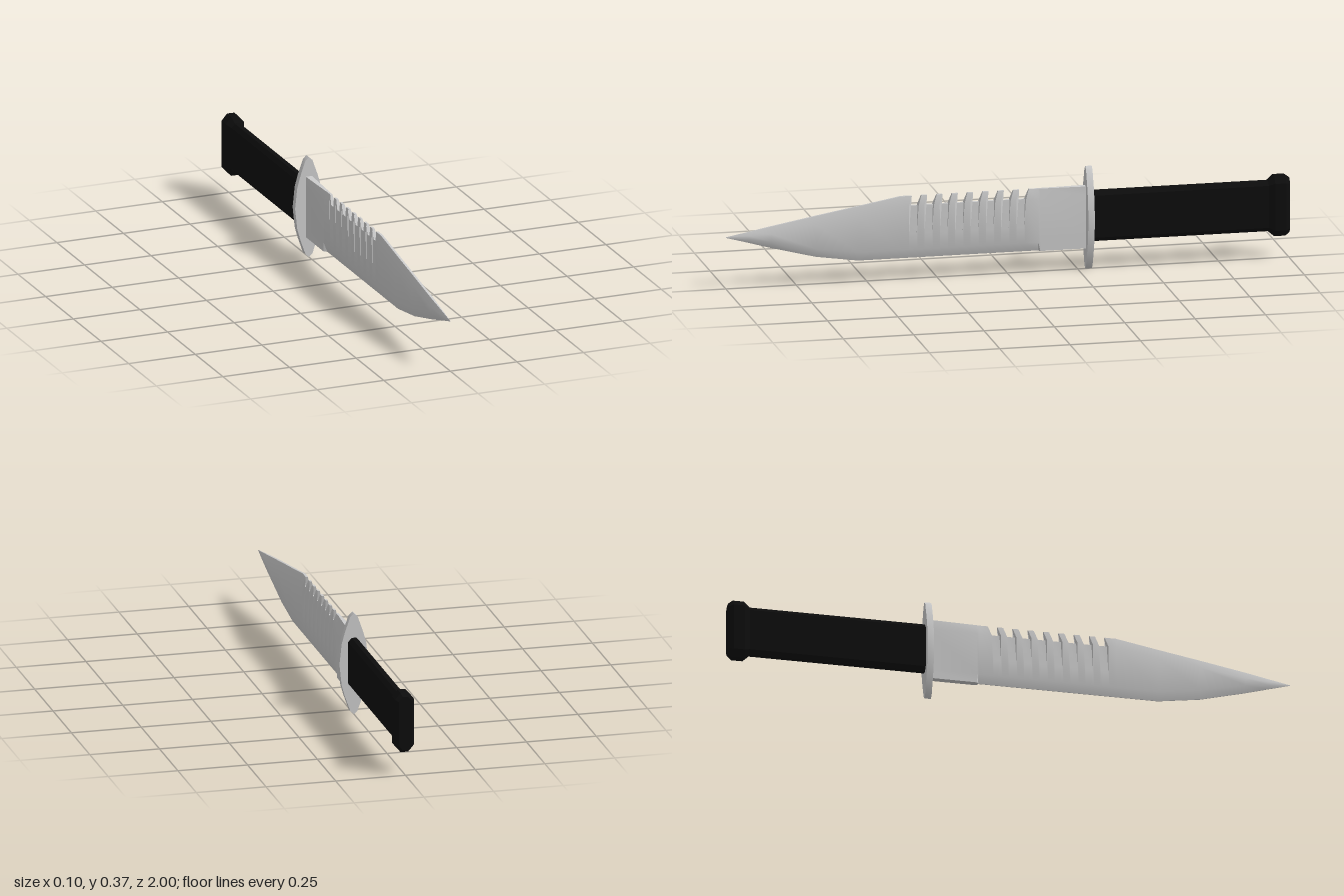
import * as THREE from 'three';
import { toCreasedNormals } from 'three/addons/utils/BufferGeometryUtils.js';

const MID = 0.184;

// Skin through rings listed towards +z, each counter-clockwise seen from +z
function loft(rings, crease) {
  const n = rings[0].length;
  const pos = rings.flat(2);
  const index = [];
  for (let i = 0; i < rings.length - 1; i++) {
    for (let j = 0; j < n; j++) {
      const k = (j + 1) % n;
      const a = i * n + j, b = i * n + k, c = (i + 1) * n + k, d = (i + 1) * n + j;
      index.push(a, b, c, a, c, d);
    }
  }
  const last = (rings.length - 1) * n;
  for (let j = 1; j < n - 1; j++) {
    index.push(0, j + 1, j, last, last + j, last + j + 1);
  }
  const g = new THREE.BufferGeometry();
  g.setAttribute('position', new THREE.Float32BufferAttribute(pos, 3));
  g.setIndex(index);
  return toCreasedNormals(g, crease);
}

// Blade section: spine half width, flat faces, bevel down to the edge
function bladeRing({ z, top = 0.297, bot = 0.075, w = 0.012, spine = 0.004,
  topBevel = 0.035, edge = 0.001, botBevel = 0.032, lean = 0 }) {
  const half = [[edge, bot], [w, bot + botBevel], [w, top - topBevel], [spine, top]];
  const mirrored = half.map(([x, y]) => [-x, y]).reverse();
  return [...half, ...mirrored].map(([x, y]) => [x, y, z - lean * Math.max(0, y - 0.25)]);
}

function bladeGeometry() {
  const s = [
    { z: -0.29, spine: 0.012, edge: 0.012 },
    { z: -0.115, spine: 0.005, edge: 0.012 },
    { z: -0.108 },
  ];
  // Saw teeth along the spine, with scallops fading down the faces
  for (let i = 0; i < 8; i++) {
    const z = -0.06 + i * 0.0545;
    const tooth = { lean: 0.33 };
    const notch = { top: 0.263, topBevel: 0.1, spine: 0.006, lean: 0.33 };
    s.push({ z, ...tooth }, { z: z + 0.003, ...notch },
      { z: z + 0.03, ...notch }, { z: z + 0.034, ...tooth });
  }
  // Clipped point and curved belly
  s.push(
    { z: 0.38 },
    { z: 0.53, top: 0.27 },
    { z: 0.68, top: 0.244, bot: 0.097, botBevel: 0.03, topBevel: 0.03 },
    { z: 0.84, top: 0.215, bot: 0.138, botBevel: 0.025, topBevel: 0.025 },
    { z: 0.92, top: 0.2, bot: 0.161, w: 0.007, spine: 0.002, botBevel: 0.013, topBevel: 0.013 },
    { z: 1, top: MID + 0.001, bot: MID - 0.001, w: 0.0005, spine: 0.0003, edge: 0.0003,
      botBevel: 0.0005, topBevel: 0.0005 },
  );
  return loft(s.map(bladeRing), 0.6);
}

// Tall eight-sided section used by the grip and pommel
function gripRing(z, hx, hy) {
  const fx = hx * 0.4, fy = hy - hx * 0.7;
  return [[hx, -fy], [hx, fy], [fx, hy], [-fx, hy], [-hx, fy], [-hx, -fy], [-fx, -hy], [fx, -hy]]
    .map(([x, y]) => [x, MID + 0.005 + y, z]);
}

// Pointed oval plate section
function guardRing(z, scale) {
  const q = [[0.052, 0], [0.044, 0.075], [0.033, 0.115], [0.013, 0.172], [0, 0.184]];
  const up = [...q, ...q.slice(0, 4).reverse().map(([x, y]) => [-x, y])];
  const down = up.slice(1, -1).map(([x, y]) => [-x, -y]);
  return [...up, ...down].map(([x, y]) => [x * scale, MID + y * scale, z]);
}

export function createModel() {
  const group = new THREE.Group();
  const steel = new THREE.MeshStandardMaterial({ color: 0xcccccc });
  const black = new THREE.MeshStandardMaterial({ color: 0x0d0d0d });
  const add = (name, geometry, material) => {
    const mesh = new THREE.Mesh(geometry, material);
    mesh.name = name;
    group.add(mesh);
  };

  add('blade', bladeGeometry(), steel);
  add('guard', loft([guardRing(-0.3, 1), guardRing(-0.277, 1)], 0.7), steel);
  add('grip', loft([gripRing(-0.94, 0.021, 0.09), gripRing(-0.295, 0.021, 0.09)], 0.3), black);
  add('pommel', loft([
    gripRing(-1, 0.024, 0.097),
    gripRing(-0.985, 0.034, 0.108),
    gripRing(-0.945, 0.034, 0.108),
    gripRing(-0.925, 0.022, 0.091),
  ], 0.3), black);
  return group;
}
